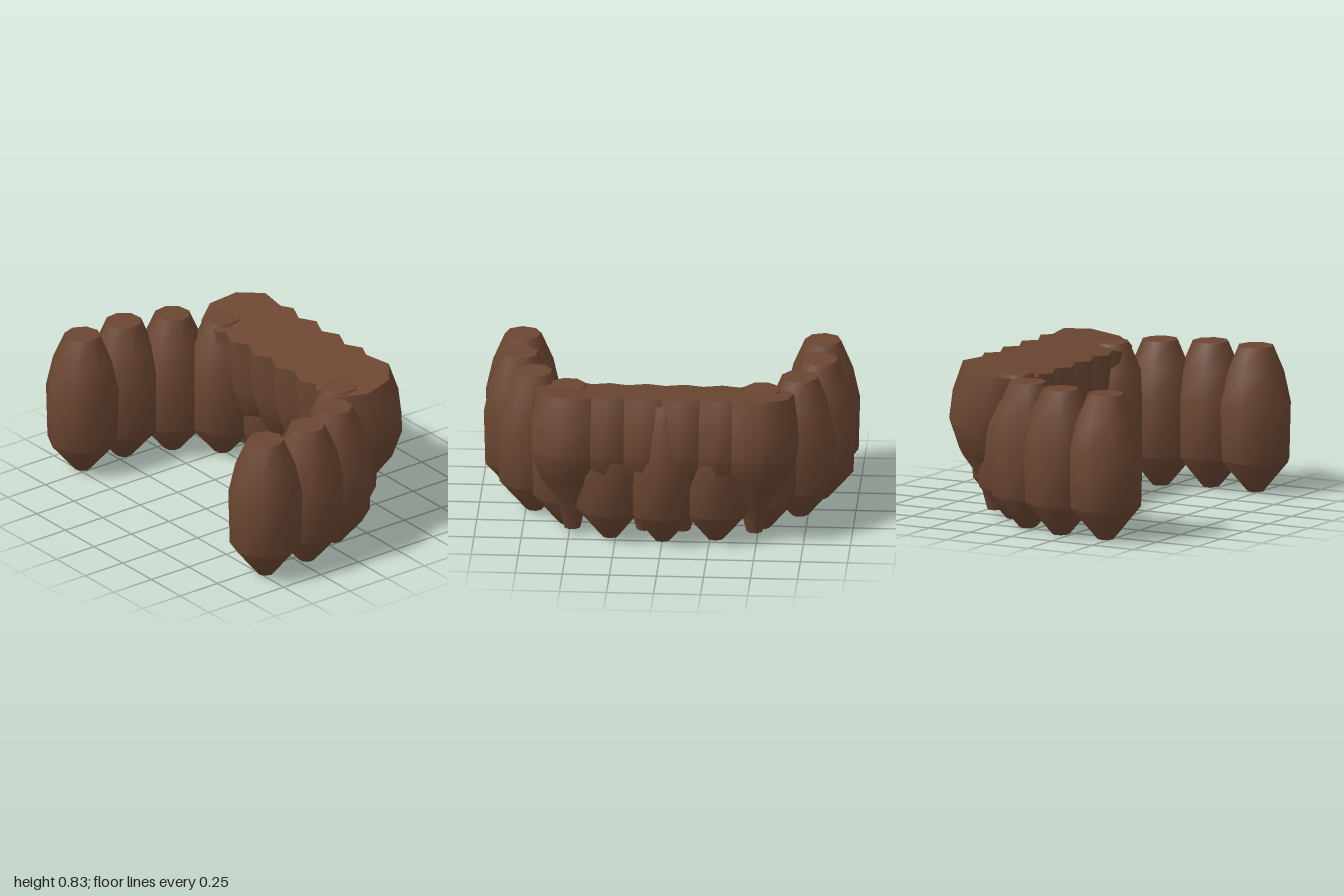
import * as THREE from 'three';
import { toCreasedNormals } from 'three/addons/utils/BufferGeometryUtils.js';

const SIDES = 8;

// Closed eight-sided lock from rings of [y, z offset, radius, slope of ring along z].
function lockGeometry(rings, turn) {
  const pos = [], index = [];
  for (const [y, z, r, slope] of rings) {
    for (let i = 0; i < SIDES; i++) {
      const a = turn + (i / SIDES) * Math.PI * 2;
      const dz = Math.cos(a) * r;
      pos.push(Math.sin(a) * r, y - dz * slope, z + dz);
    }
  }
  for (let k = 0; k < rings.length - 1; k++) {
    for (let i = 0; i < SIDES; i++) {
      const j = (i + 1) % SIDES;
      const a = k * SIDES + i, b = k * SIDES + j;
      index.push(a, b, b + SIDES, a, b + SIDES, a + SIDES);
    }
  }
  // flat ends
  const top = (rings.length - 1) * SIDES;
  for (let i = 1; i < SIDES - 1; i++) {
    index.push(0, i + 1, i);
    index.push(top, top + i, top + i + 1);
  }
  const g = new THREE.BufferGeometry();
  g.setAttribute('position', new THREE.Float32BufferAttribute(pos, 3));
  g.setIndex(index);
  return toCreasedNormals(g, 0.82);
}

// upright lock, thick in the middle
const UPRIGHT = [
  [0, 0, 0.045, 0],
  [0.17, 0, 0.19, 0],
  [0.47, 0, 0.198, 0],
  [0.64, 0, 0.16, 0],
  [0.785, 0, 0.097, 0],
];

// broad lock with a wide sloping top and a narrow tip
const BROAD = [
  [0.03, -0.39, 0.045, 0],
  [0.2, -0.40, 0.085, 0.05],
  [0.33, -0.405, 0.185, 0.1],
  [0.48, -0.41, 0.237, 0.12],
  [0.63, -0.39, 0.235, 0.15],
  [0.79, -0.355, 0.21, 0.17],
];

export function createModel() {
  const group = new THREE.Group();
  const brown = new THREE.MeshStandardMaterial({ color: 0x6b4632 });
  brown.name = 'brown';

  function addLock(name, rings, x, z, turn) {
    const mesh = new THREE.Mesh(lockGeometry(rings, turn), brown);
    mesh.name = name;
    mesh.position.set(x, 0, z);
    group.add(mesh);
  }

  // upright locks around the horseshoe: [x, z, turn]
  const upright = [
    [0.797, 0.465, 0.08],
    [0.797, 0.19, 0.3],
    [0.705, -0.065, 0.25],
    [0.515, -0.255, 0.3],
    [0.28, -0.43, 0.1],
  ];
  // broad locks across the back: [x, turn]
  const broad = [[0.1, 0], [0.3, 0], [0.485, -0.25]];

  for (const side of [1, -1]) {
    const label = side > 0 ? 'left' : 'right';
    upright.forEach(([x, z, t], i) => addLock(`${label}UprightLock${i + 1}`, UPRIGHT, x * side, z, t * side));
    broad.forEach(([x, t], i) => addLock(`${label}BroadLock${i + 1}`, BROAD, x * side, 0, t * side));
  }
  addLock('centreUprightLock', UPRIGHT, 0, -0.465, 0);

  return group;
}
